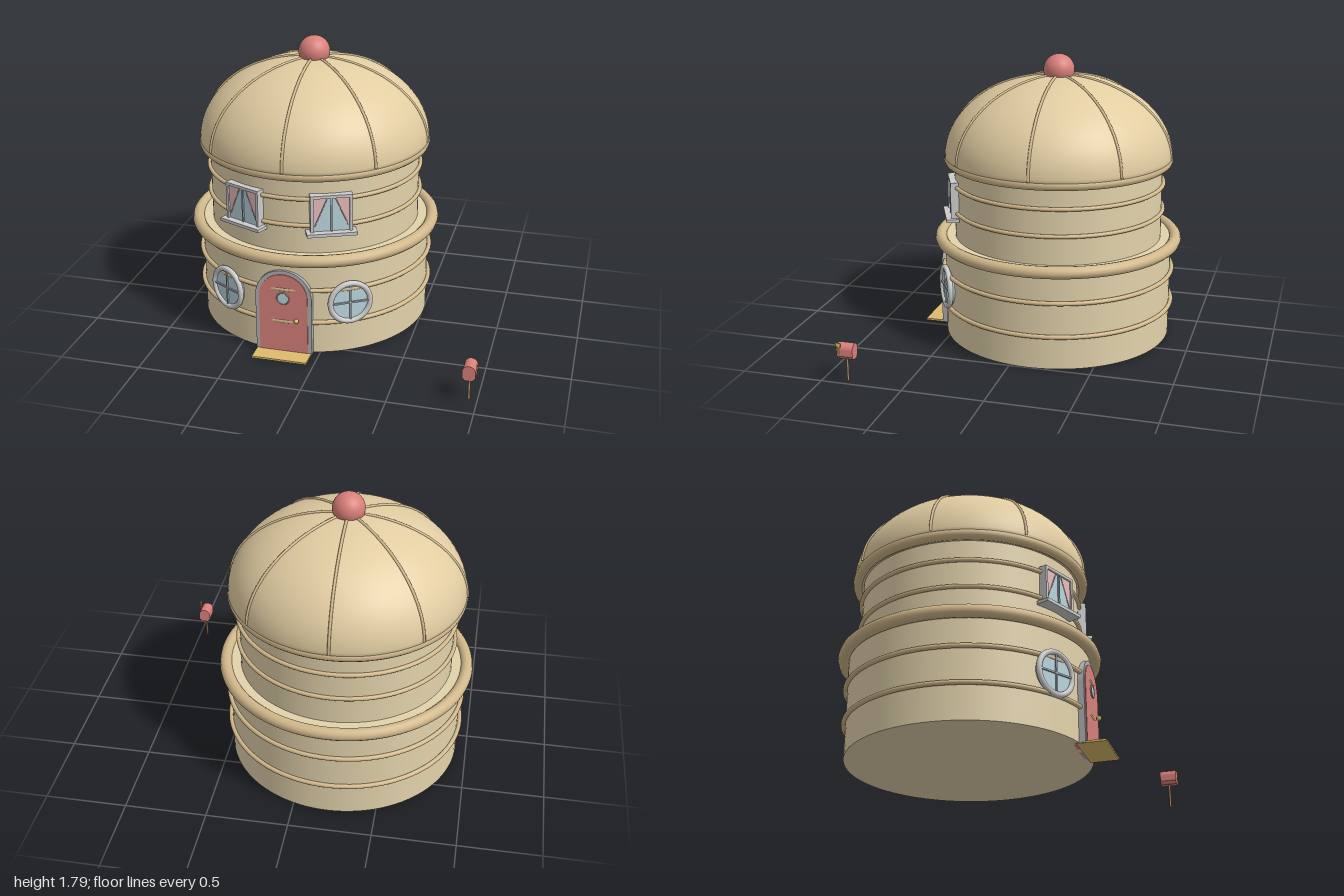
import * as THREE from 'three';

const mat = (color, side = THREE.FrontSide) => new THREE.MeshStandardMaterial({ color, side });
const M = {
  wall: mat(0xe3d3ac), dome: mat(0xe2cda2), trim: mat(0xd2b98c), pink: mat(0xd9807a),
  glass: mat(0xb9d3dc), frame: mat(0xe2e2e4), bar: mat(0x9fb0b8), stone: mat(0xb0b0b4),
  gold: mat(0xdcbb6c), curtain: mat(0xe8bcba, THREE.DoubleSide), wood: mat(0xb89068), flag: mat(0xd8c860),
};

function add(parent, name, geometry, material, x = 0, y = 0, z = 0) {
  const mesh = new THREE.Mesh(geometry, material);
  mesh.name = name;
  mesh.position.set(x, y, z);
  parent.add(mesh);
  return mesh;
}
const box = (w, h, d) => new THREE.BoxGeometry(w, h, d);

// Horizontal ring around the tower
function ring(parent, name, radius, tube, y) {
  add(parent, name, new THREE.TorusGeometry(radius, tube, 12, 96), M.trim, 0, y, 0).rotation.x = Math.PI / 2;
}

// Group facing outward from the tower wall
function onWall(parent, name, angle, radius, y) {
  const g = new THREE.Group();
  g.name = name;
  g.position.set(radius * Math.sin(angle), y, radius * Math.cos(angle));
  g.rotation.y = angle;
  parent.add(g);
  return g;
}

// Arched outline standing on y = 0
function arch(half, spring, Type = THREE.Shape) {
  const s = new Type();
  s.moveTo(-half, 0);
  s.lineTo(half, 0);
  s.lineTo(half, spring);
  s.absarc(0, spring, half, 0, Math.PI, false);
  s.lineTo(-half, 0);
  return s;
}
const extrude = (shape, depth) =>
  new THREE.ExtrudeGeometry(shape, { depth, bevelEnabled: false, curveSegments: 24 });

function roundWindow(parent, angle) {
  const g = onWall(parent, 'roundWindow', angle, 0.738, 0.34);
  add(g, 'windowRing', new THREE.TorusGeometry(0.124, 0.017, 12, 48), M.frame);
  add(g, 'windowGlass', new THREE.CylinderGeometry(0.124, 0.124, 0.03, 40), M.glass, 0, 0, -0.014).rotation.x = Math.PI / 2;
  add(g, 'uprightBar', box(0.01, 0.24, 0.012), M.bar, 0, 0, 0.004);
  add(g, 'crossBar', box(0.24, 0.01, 0.012), M.bar, 0, 0, 0.004);
}

function squareWindow(parent, angle) {
  const g = onWall(parent, 'squareWindow', angle, 0.678, 0.9);
  add(g, 'windowGlass', box(0.23, 0.22, 0.04), M.glass, 0, 0, -0.018);
  for (const s of [-1, 1]) {
    add(g, 'sideFrame', box(0.018, 0.24, 0.05), M.frame, s * 0.116, 0, -0.01);
    // Curtain drawn back to the side
    const c = new THREE.Shape([[0.107, 0.105], [0.022, 0.105], [0.05, 0.02], [0.1, -0.075], [0.107, -0.075]]
      .map(([x, y]) => new THREE.Vector2(s * x, y)));
    add(g, 'curtain', new THREE.ShapeGeometry(c), M.curtain, 0, 0, 0.005);
    const edge = new THREE.LineCurve3(new THREE.Vector3(s * 0.022, 0.105, 0.005), new THREE.Vector3(s * 0.1, -0.075, 0.005));
    add(g, 'curtainHem', new THREE.TubeGeometry(edge, 1, 0.003, 6), M.bar);
  }
  add(g, 'topFrame', box(0.25, 0.018, 0.05), M.frame, 0, 0.111, -0.01);
  add(g, 'centreBar', box(0.01, 0.22, 0.012), M.bar, 0, 0, 0.006);
  add(g, 'sill', box(0.3, 0.02, 0.08), M.frame, 0, -0.118, 0.005);
}

function buildDoor(parent) {
  const g = new THREE.Group();
  g.name = 'door';
  parent.add(g);
  const frame = arch(0.174, 0.37);
  frame.holes.push(arch(0.148, 0.37, THREE.Path));
  add(g, 'doorFrame', extrude(frame, 0.07), M.stone, 0, 0.005, 0.665);
  add(g, 'doorPanel', extrude(arch(0.15, 0.37), 0.08), M.pink, 0, 0.005, 0.66);
  add(g, 'doorPorthole', new THREE.CylinderGeometry(0.037, 0.037, 0.02, 24), M.glass, 0, 0.37, 0.736).rotation.x = Math.PI / 2;
  add(g, 'portholeRing', new THREE.TorusGeometry(0.037, 0.004, 8, 32), M.stone, 0, 0.37, 0.745);
  add(g, 'doorKnob', new THREE.SphereGeometry(0.015, 16, 12), M.gold, 0.085, 0.235, 0.757);
  add(g, 'doorstep', box(0.34, 0.012, 0.17), M.gold, 0, 0.008, 0.765);
}

function buildRoof(parent) {
  const base = 1.15, r = 0.715, h = 0.51;
  const at = (t, grow = 0) => [(r + grow) * Math.cos(t), base + (h + grow) * Math.sin(t)];
  const profile = [[0.64, 1.115], [0.69, 1.115]].map(p => new THREE.Vector2(...p));
  for (let i = 0; i <= 32; i++) profile.push(new THREE.Vector2(...at(i / 32 * Math.PI / 2)));
  profile[profile.length - 1].x = 0;
  add(parent, 'dome', new THREE.LatheGeometry(profile, 96), M.dome);
  ring(parent, 'domeRim', 0.688, 0.032, 1.138);

  // Ribs running from the knob down to the rim
  const points = [];
  for (let i = 0; i <= 16; i++) {
    const [x, y] = at(0.02 + i / 16 * 1.53, 0.001);
    points.push(new THREE.Vector3(x, y, 0));
  }
  const rib = new THREE.TubeGeometry(new THREE.CatmullRomCurve3(points), 40, 0.009, 8);
  for (let i = 0; i < 8; i++) add(parent, 'domeRib', rib, M.trim).rotation.y = i * Math.PI / 4;
  add(parent, 'roofKnob', new THREE.SphereGeometry(0.097, 32, 24), M.pink, 0, 1.69, 0);
}

function buildMailbox(parent) {
  const g = new THREE.Group();
  g.name = 'mailbox';
  g.position.set(0.95, 0, 0.85);
  parent.add(g);
  add(g, 'mailboxPost', new THREE.CylinderGeometry(0.007, 0.007, 0.16, 10), M.wood, 0, 0.08, 0);
  // Round-topped box with a narrower lower edge
  const s = new THREE.Shape();
  s.moveTo(-0.022, 0.145);
  s.lineTo(0.022, 0.145);
  s.lineTo(0.038, 0.165);
  s.lineTo(0.038, 0.2);
  s.absarc(0, 0.2, 0.038, 0, Math.PI, false);
  s.lineTo(-0.038, 0.165);
  add(g, 'mailboxBody', extrude(s, 0.1), M.pink, 0, 0, -0.05);
  add(g, 'flagArm', box(0.006, 0.06, 0.008), M.flag, 0.043, 0.215, 0.034);
  add(g, 'flag', box(0.006, 0.025, 0.03), M.flag, 0.046, 0.238, 0.034);
}

export function createModel() {
  const model = new THREE.Group();
  model.name = 'roundHouse';
  const tower = new THREE.Group();
  tower.name = 'tower';
  tower.position.set(-0.213, 0, -0.12);
  model.add(tower);

  // Two stacked storeys
  add(tower, 'lowerStorey', new THREE.CylinderGeometry(0.72, 0.72, 0.635, 96), M.wall, 0, 0.3225, 0);
  add(tower, 'upperStorey', new THREE.CylinderGeometry(0.655, 0.655, 0.53, 96), M.wall, 0, 0.875, 0);
  ring(tower, 'ledgeRing', 0.746, 0.038, 0.627);
  for (const y of [0.215, 0.428]) ring(tower, 'lowerBand', 0.731, 0.014, y);
  for (const y of [0.82, 0.987]) ring(tower, 'upperBand', 0.664, 0.013, y);

  buildRoof(tower);
  buildDoor(tower);
  for (const s of [-1, 1]) {
    roundWindow(tower, s * 0.55);
    squareWindow(tower, s * 0.408);
  }
  buildMailbox(model);
  return model;
}
